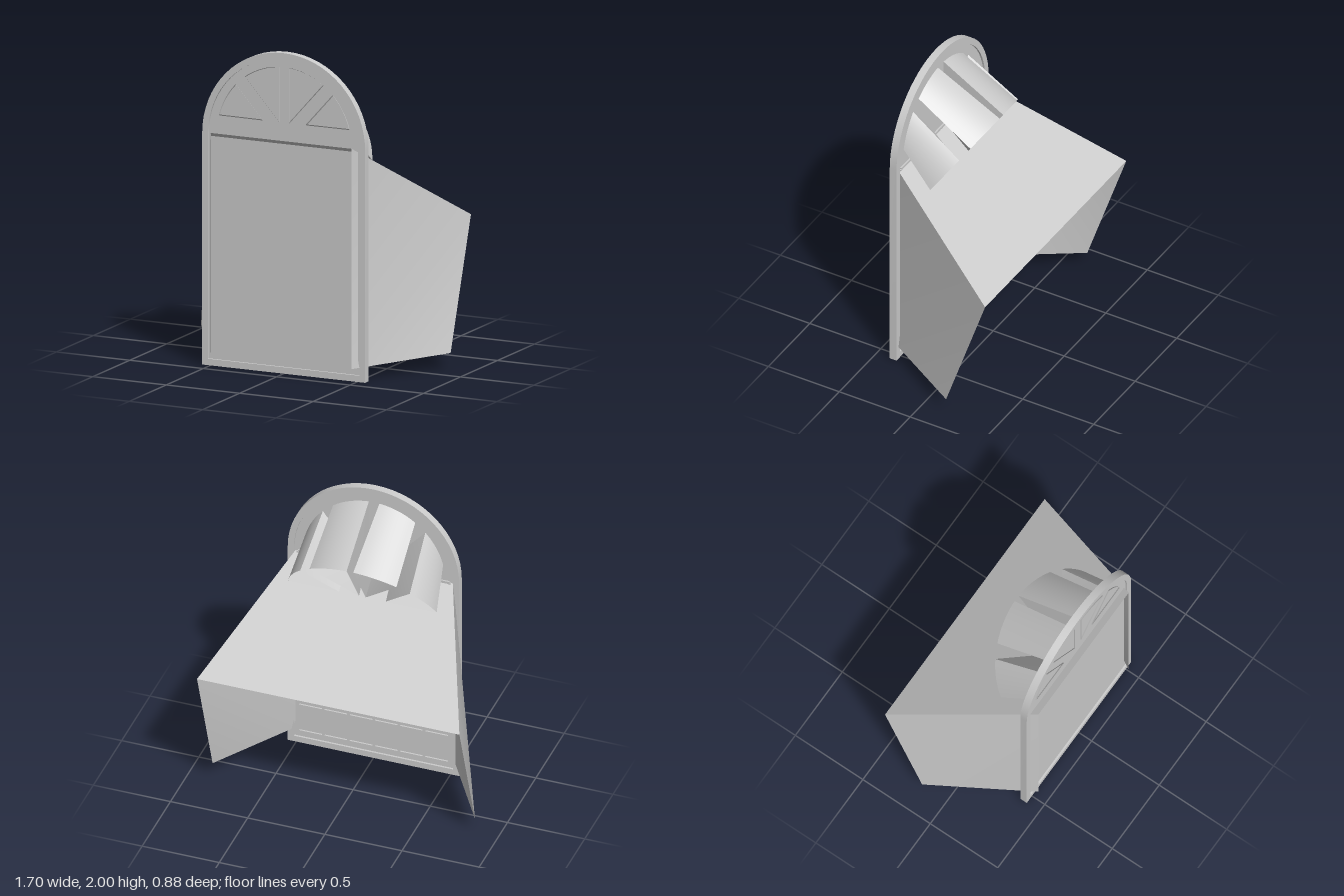
import * as THREE from 'three';
import { toCreasedNormals } from 'three/addons/utils/BufferGeometryUtils.js';

const solid = new THREE.MeshStandardMaterial({ color: 0xcccccc });
const sheet = new THREE.MeshStandardMaterial({ color: 0xcccccc, side: THREE.DoubleSide });

function add(parent, name, geometry, material = solid) {
  const mesh = new THREE.Mesh(geometry, material);
  mesh.name = name;
  parent.add(mesh);
  return mesh;
}

// Round-topped outline; works for both Shape and Path
function arch(path, halfWidth, bottom, springY) {
  path.moveTo(-halfWidth, bottom);
  path.lineTo(halfWidth, bottom);
  path.lineTo(halfWidth, springY);
  path.absarc(0, springY, halfWidth, 0, Math.PI, false);
  path.lineTo(-halfWidth, bottom);
  return path;
}

function extrude(shape, z0, z1) {
  const g = new THREE.ExtrudeGeometry(shape, { depth: z1 - z0, bevelEnabled: false, curveSegments: 16 });
  return toCreasedNormals(g.translate(0, 0, z0), 0.5);
}

// Thin walls joining two matching rows of points
function loft(front, back, closed) {
  const pos = [];
  const n = front.length;
  for (let i = 0; i < (closed ? n : n - 1); i++) {
    const j = (i + 1) % n;
    pos.push(...front[i], ...back[i], ...back[j], ...front[i], ...back[j], ...front[j]);
  }
  const g = new THREE.BufferGeometry();
  g.setAttribute('position', new THREE.Float32BufferAttribute(pos, 3));
  g.computeVertexNormals();
  return toCreasedNormals(g, 0.5);
}

// Points along the fanlight arc between two x values (right half)
function fanArc(xFrom, xTo, steps = 8) {
  const r = 0.457, a0 = Math.acos(xFrom / r), a1 = Math.acos(xTo / r);
  return Array.from({ length: steps + 1 }, (_, i) => {
    const a = a0 + (a1 - a0) * i / steps;
    return [r * Math.cos(a), 1.455 + r * Math.sin(a)];
  });
}

export function createModel() {
  const model = new THREE.Group();
  model.name = 'archedWindow';

  // Frame and recessed panel
  const frameShape = arch(new THREE.Shape(), 0.555, 0, 1.445);
  frameShape.holes.push(arch(new THREE.Path(), 0.515, 0.04, 1.445));
  add(model, 'frame', extrude(frameShape, 0.357, 0.405));
  add(model, 'panel', extrude(arch(new THREE.Shape(), 0.515, 0.04, 1.445), 0.37, 0.392));

  // Glazing bars on the back of the panel
  const bars = new THREE.Group();
  bars.name = 'glazingBars';
  model.add(bars);
  const cols = 6, rows = 7, w = 0.98, y0 = 0.08, h = 1.34, t = 0.016;
  for (let i = 0; i <= cols; i++) {
    add(bars, 'verticalBar', new THREE.BoxGeometry(t, h, 0.012))
      .position.set(-w / 2 + w * i / cols, y0 + h / 2, 0.365);
  }
  for (let i = 0; i <= rows; i++) {
    add(bars, 'horizontalBar', new THREE.BoxGeometry(w, t, 0.011))
      .position.set(0, y0 + h * i / rows, 0.365);
  }

  // Large flared hood: two sides and a sloping top, open below and behind
  const hoodFront = [[0.48, 0.085, 0.44], [0.48, 1.46, 0.44], [-0.48, 1.46, 0.44], [-0.48, 0.085, 0.44]];
  const hoodBack = [[0.85, 0.1, -0.165], [0.85, 0.91, -0.44], [-0.85, 0.91, -0.44], [-0.85, 0.1, -0.165]];
  add(model, 'mainHood', loft(hoodFront, hoodBack, false), sheet);

  // Four open fanlight hoods, sloping down to a slanted end
  const wedges = {
    innerFanHood: [[0.035, 1.57], ...fanArc(0.265, 0.035)],
    outerFanHood: [[0.15, 1.57], ...fanArc(0.442, 0.33)],
  };
  for (const [name, profile] of Object.entries(wedges)) {
    for (const side of [1, -1]) {
      const loop = side > 0 ? profile : [...profile].reverse();
      const front = loop.map(([x, y]) => [side * x, y, 0.4]);
      const back = loop.map(([x, y]) => {
        const yb = 1.33 + 0.97 * (y - 1.57);
        return [side * (1.13 * x - 0.018), yb, -0.057 + (1.66 - yb) * 0.667];
      });
      add(model, name, loft(front, back, true), sheet);
    }
  }
  return model;
}
